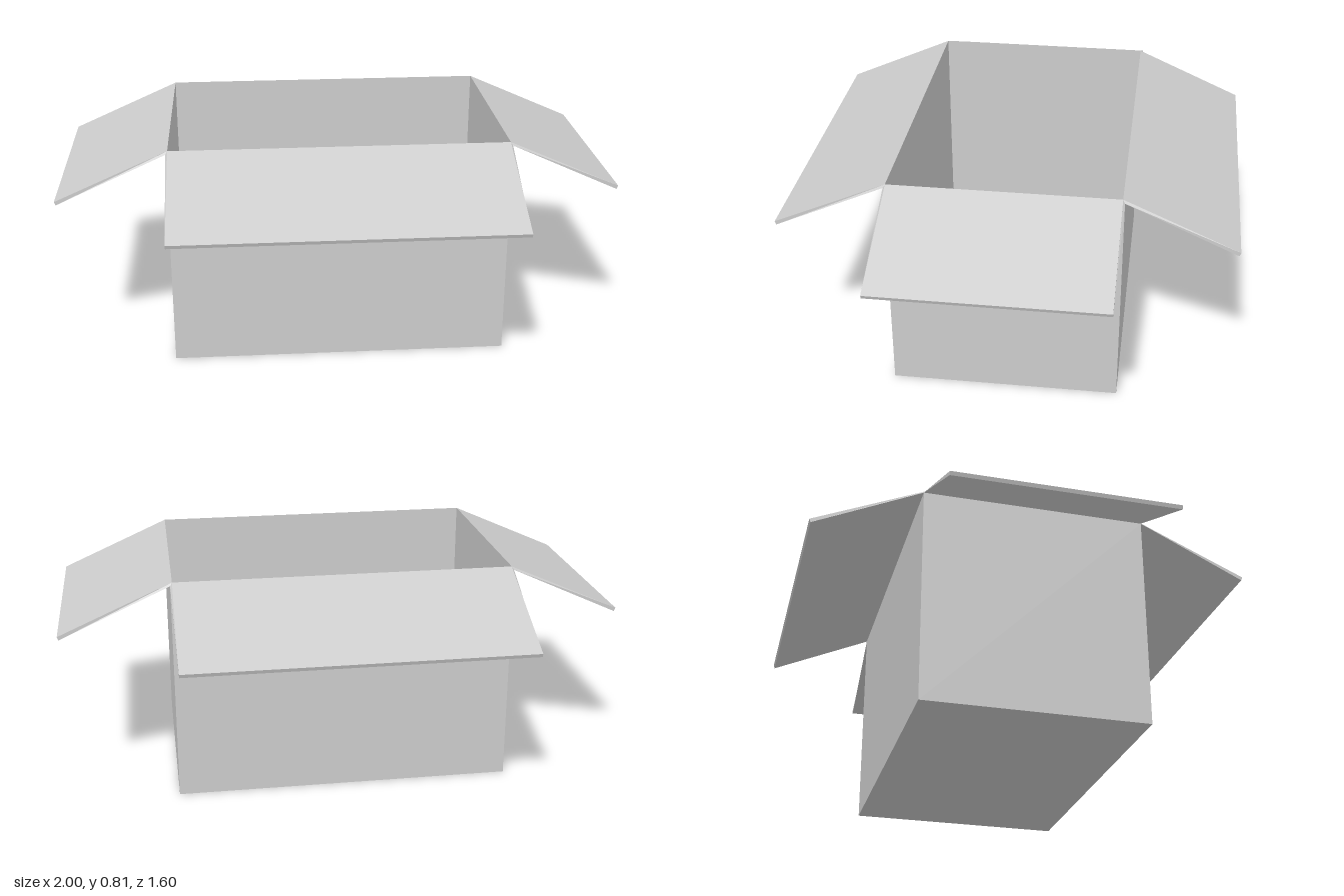
import * as THREE from 'three';

// Solid slab between an inner quad and its matching outer quad
function slab(inner, outer) {
  const pos = [];
  const quad = (a, b, c, d) => pos.push(...a, ...b, ...c, ...a, ...c, ...d);
  quad(...inner);
  quad(outer[3], outer[2], outer[1], outer[0]);
  for (let i = 0; i < 4; i++) {
    const j = (i + 1) % 4;
    quad(outer[i], outer[j], inner[j], inner[i]);
  }
  const geo = new THREE.BufferGeometry();
  geo.setAttribute('position', new THREE.Float32BufferAttribute(pos, 3));
  geo.computeVertexNormals();
  return geo;
}

export function createModel() {
  const box = new THREE.Group();
  box.name = 'openBox';
  const cardboard = new THREE.MeshStandardMaterial({ color: 0xcccccc });
  cardboard.name = 'cardboard';

  const HX = 0.6, HZ = 0.4, T = 0.007; // inner half sizes and wall thickness
  const RIM = 0.81, RIM_OUT = 0.799, TIP = 0.633, TIP_OUT = 0.62, REACH = 0.4;

  const add = (parent, name, inner, outer) => {
    const mesh = new THREE.Mesh(slab(inner, outer), cardboard);
    mesh.name = name;
    parent.add(mesh);
  };

  // Floor
  const floor = (x, y, z) => [[-x, y, z], [x, y, z], [x, y, -z], [-x, y, -z]];
  add(box, 'floor', floor(HX, T, HZ), floor(HX + T, 0, HZ + T));

  // Four sides, each a wall with a flap folded outwards and down
  const wall = (w, d, y0, y1) => [[w, y0, d], [-w, y0, d], [-w, y1, d], [w, y1, d]];
  const flap = (w, d, y, tipW, tipD, tipY) =>
    [[-tipW, tipY, tipD], [tipW, tipY, tipD], [w, y, d], [-w, y, d]];

  ['front', 'left', 'back', 'right'].forEach((name, i) => {
    const w = i % 2 ? HZ : HX, d = i % 2 ? HX : HZ;
    const side = new THREE.Group();
    side.name = name + 'Side';
    side.rotation.y = i * Math.PI / 2;
    add(side, name + 'Wall', wall(w, d, T, RIM), wall(w + T, d + T, 0, RIM_OUT));
    add(side, name + 'Flap',
      flap(w, d, RIM, w, d + REACH, TIP),
      flap(w + T, d + T, RIM_OUT, w, d + REACH - 0.005, TIP_OUT));
    box.add(side);
  });

  return box;
}
